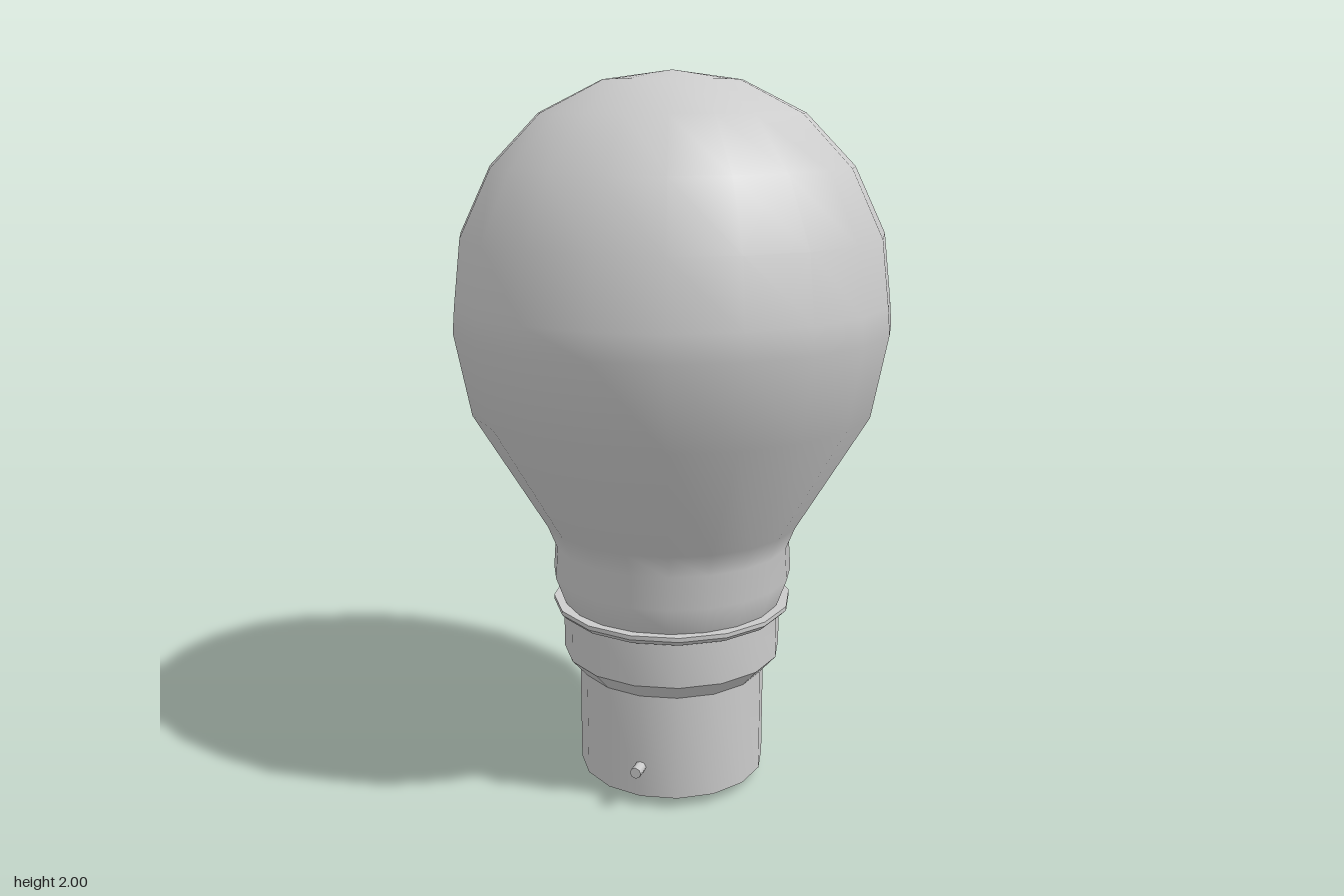
import * as THREE from 'three';
import { toCreasedNormals } from 'three/addons/utils/BufferGeometryUtils.js';

const material = new THREE.MeshStandardMaterial({ color: 0xcccccc, side: THREE.DoubleSide });

// Turned part from [radius, height] pairs, listed bottom to top
function turned(name, profile, sides, crease) {
  let geometry = new THREE.LatheGeometry(profile.map(([r, y]) => new THREE.Vector2(r, y)), sides);
  if (crease) geometry = toCreasedNormals(geometry, crease);
  const mesh = new THREE.Mesh(geometry, material);
  mesh.name = name;
  return mesh;
}

export function createModel() {
  const group = new THREE.Group();
  group.name = 'lightBulb';

  // Glass envelope with a slightly bulging neck
  group.add(turned('glassBulb', [
    [0.305, 0.53], [0.315, 0.55], [0.34, 0.62], [0.334, 0.71], [0.36, 0.775],
    [0.557, 1.105], [0.6, 1.33], [0.594, 1.4], [0.573, 1.576], [0.488, 1.753],
    [0.355, 1.89], [0.185, 1.975], [0, 2],
  ], 20));

  // Thin rolled lip between glass and cap
  group.add(turned('capRim', [
    [0.305, 0.515], [0.325, 0.515], [0.34, 0.53], [0.34, 0.542], [0.3, 0.54],
  ], 16, 0.6));

  // Stepped metal cap
  group.add(turned('bayonetCap', [
    [0.225, 0.03], [0.268, 0.03], [0.268, 0.335], [0.312, 0.385], [0.312, 0.53],
  ], 16, 0.6));

  // Bevelled contact plate at the foot
  group.add(turned('contactPlate', [
    [0, 0], [0.205, 0], [0.235, 0.03], [0.22, 0.035],
  ], 16, 0.6));

  // Locking pins, front and back
  for (const side of [1, -1]) {
    const pin = new THREE.Mesh(new THREE.CylinderGeometry(0.016, 0.016, 0.08, 8), material);
    pin.name = side > 0 ? 'frontPin' : 'backPin';
    pin.rotation.x = Math.PI / 2;
    pin.position.set(0, 0.12, side * 0.267);
    group.add(pin);
  }
  return group;
}
